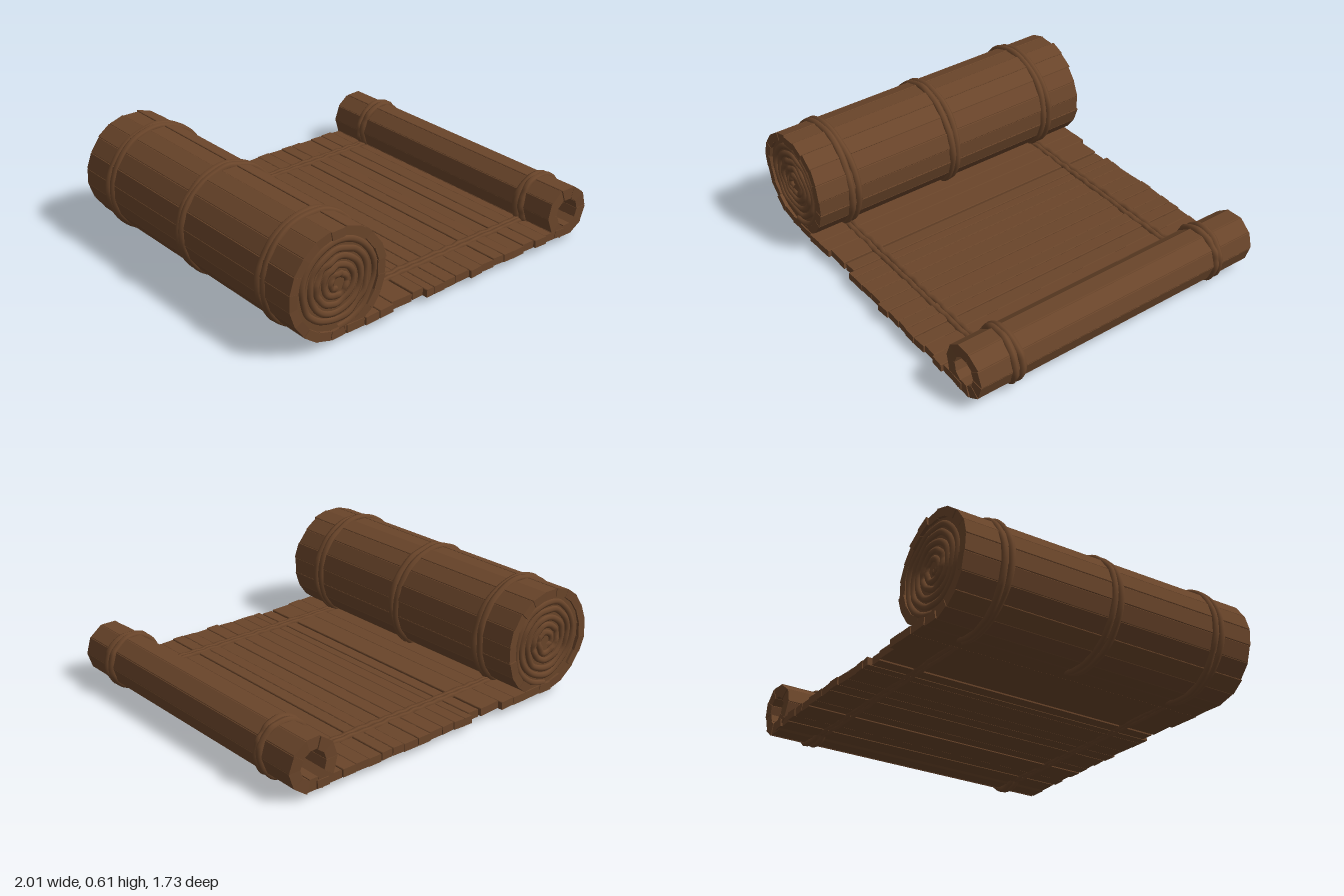
import * as THREE from 'three';

export function createModel() {
  const model = new THREE.Group();
  const wood = new THREE.MeshStandardMaterial({ color: 0x6a452a });
  wood.name = 'brown wood';
  let seed = 7;
  const rnd = () => (seed = (seed * 16807) % 2147483647) / 2147483647;
  const vary = (a) => (rnd() - 0.5) * 2 * a;

  function add(parent, name, geo) {
    const mesh = new THREE.Mesh(geo, wood);
    mesh.name = name;
    parent.add(mesh);
    return mesh;
  }
  function group(name, x, y) {
    const g = new THREE.Group();
    g.name = name;
    g.position.set(x, y, 0);
    model.add(g);
    return g;
  }

  // One bevelled slat along z; its outer face is at y = 0 and it reaches down by t
  function slat(parent, name, outer, inner, t, half, x, y, angle) {
    const o = outer / 2, i = inner / 2, c = 0.003;
    const s = new THREE.Shape([
      [-i, -t], [i, -t], [o, -c], [o - c, 0], [-o + c, 0], [-o, -c],
    ].map((p) => new THREE.Vector2(...p)));
    const front = half + vary(0.005), back = half + vary(0.005);
    const geo = new THREE.ExtrudeGeometry(s, { depth: front + back, bevelEnabled: false });
    geo.translate(0, 0, -back);
    // Rough, slightly skewed cut ends
    const pos = geo.attributes.position, skewA = vary(0.07), skewB = vary(0.07);
    for (let k = 0; k < pos.count; k++) {
      const z = pos.getZ(k);
      pos.setZ(k, z + pos.getX(k) * (z > 0 ? skewA : skewB));
    }
    geo.computeVertexNormals();
    const m = add(parent, name, geo);
    m.position.set(x, y, 0);
    m.rotation.z = angle;
  }

  // Closed ring of slats that touch at their sides
  function slatRing(parent, name, n, R, t, half) {
    const k = 2 * Math.tan(Math.PI / n);
    for (let j = 0; j < n; j++) {
      const a = (j / n) * Math.PI * 2, r = R + vary(0.003);
      slat(parent, name, R * k, (R - t) * k, t, half,
        -Math.sin(a) * r, Math.cos(a) * r, a);
    }
  }

  // Binding of two wobbly rope strands pressed together around a roll
  function binding(parent, R, z) {
    for (const off of [-0.016, 0.016]) {
      const pts = [], p = rnd() * 6;
      for (let j = 0; j < 24; j++) {
        const a = (j / 24) * Math.PI * 2, r = R + vary(0.004);
        pts.push(new THREE.Vector3(Math.cos(a) * r, Math.sin(a) * r,
          z + off + Math.sin(a * 2 + p) * 0.005));
      }
      const path = new THREE.CatmullRomCurve3(pts, true);
      add(parent, 'ropeBinding', new THREE.TubeGeometry(path, 72, 0.02, 7, true));
    }
  }

  // Large roll: outer slats around a solid core
  const big = group('largeRoll', -0.705, 0.31);
  slatRing(big, 'outerSlat', 20, 0.282, 0.045, 0.847);
  const core = add(big, 'rollCore', new THREE.CylinderGeometry(0.25, 0.25, 1.664, 32));
  core.rotation.x = Math.PI / 2;
  // Uneven coiled layers showing on both ends
  for (const z of [-0.829, 0.829]) {
    const pts = [];
    for (let j = 0; j <= 90; j++) {
      const a = (j / 18) * Math.PI * 2, r = 0.232 - j * 0.0023 + vary(0.004);
      pts.push(new THREE.Vector3(Math.sin(a) * r, -Math.cos(a) * r, z + vary(0.004)));
    }
    add(big, 'coiledLayers',
      new THREE.TubeGeometry(new THREE.CatmullRomCurve3(pts), 260, 0.018, 6));
  }
  for (const z of [-0.62, 0, 0.635]) binding(big, 0.279, z);

  // Small hollow roll
  const small = group('smallRoll', 0.845, 0.157);
  slatRing(small, 'smallRollSlat', 10, 0.133, 0.062, 0.85);
  for (const z of [-0.62, 0.635]) binding(small, 0.134, z);

  // Unrolled sheet of flat slats
  const sheet = group('flatSheet', 0, 0);
  const edges = [-0.66, -0.55, -0.46, -0.37, -0.24, -0.16, -0.11, -0.04, 0.04, 0.13, 0.21,
    0.3, 0.37, 0.44, 0.52, 0.6, 0.68, 0.76, 0.83];
  for (let j = 0; j < edges.length - 1; j++) {
    const gap = edges[j] === -0.24 ? 0.012 : 0.002;
    const w = edges[j + 1] - edges[j] - gap;
    const half = edges[j] < -0.23 && edges[j] > -0.38 ? 0.832 : 0.858 + vary(0.005);
    slat(sheet, 'flatSlat', w, w, 0.042, half,
      (edges[j] + edges[j + 1] + gap) / 2, 0.077 + vary(0.003), vary(0.025));
  }
  const backing = add(sheet, 'slatBacking', new THREE.BoxGeometry(1.4, 0.008, 1.26));
  backing.position.set(0.1, 0.056, 0);

  // Paired ropes above and below the sheet, dipping between slats
  for (const z of [-0.62, 0.635]) {
    for (const [y, side] of [[0.075, 1], [0.042, -1]]) {
      for (const off of [-0.013, 0.013]) {
        const pts = [];
        for (let j = 0; j <= 32; j++) {
          const x = -0.56 + (j / 32) * 1.34;
          pts.push(new THREE.Vector3(x, y - side * (j % 2) * 0.004, z + off + vary(0.004)));
        }
        add(sheet, 'sheetRope',
          new THREE.TubeGeometry(new THREE.CatmullRomCurve3(pts), 80, 0.016, 6));
      }
    }
  }
  return model;
}
